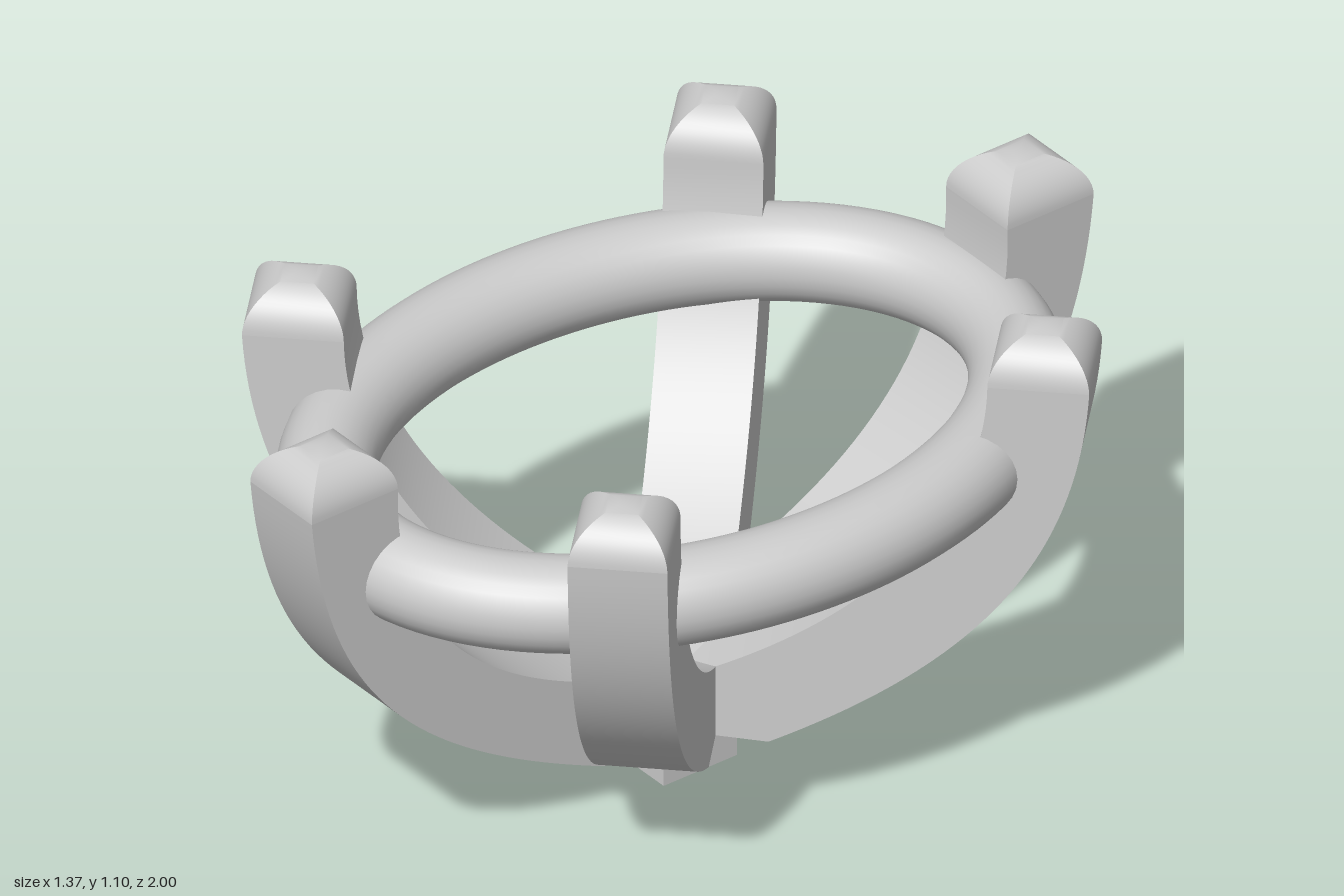
import * as THREE from 'three';
import { toCreasedNormals } from 'three/addons/utils/BufferGeometryUtils.js';

const material = new THREE.MeshStandardMaterial({ color: 0xcccccc });
const HALF = 0.102; // half the width of a prong

// Curved claw: a side profile of two Bezier curves (radius, height), with a vaulted tip
function makeProng(name, outer, inner, angle) {
  const prong = new THREE.Group();
  prong.name = name;

  const shape = new THREE.Shape();
  shape.moveTo(0, 0.118);
  shape.lineTo(...outer[0]);
  shape.bezierCurveTo(...outer[1], ...outer[2], ...outer[3]);
  shape.lineTo(...inner[0]);
  shape.bezierCurveTo(...inner[1], ...inner[2], ...inner[3]);
  shape.closePath();
  const arm = new THREE.ExtrudeGeometry(shape, { depth: HALF * 2, bevelEnabled: false, curveSegments: 36 });
  arm.translate(0, 0, -HALF);
  const armMesh = new THREE.Mesh(toCreasedNormals(arm, 0.5), material);
  armMesh.name = 'prongArm';

  // Four-sided rounded tip
  const top = outer[3][0];
  const bottom = inner[0][0];
  const profile = [];
  for (let i = 0; i <= 14; i++) {
    const t = (i / 14) * Math.PI / 2;
    profile.push(new THREE.Vector2(Math.max(0, Math.cos(t)) * Math.SQRT2, Math.sin(t)));
  }
  const tip = new THREE.LatheGeometry(profile, 4, Math.PI / 4);
  tip.scale((top - bottom) / 2, 0.097, HALF);
  tip.translate((top + bottom) / 2, 1, 0);
  const tipMesh = new THREE.Mesh(toCreasedNormals(tip, 0.5), material);
  tipMesh.name = 'prongTip';

  prong.add(armMesh, tipMesh);
  prong.rotation.y = angle;
  return prong;
}

export function createModel() {
  const model = new THREE.Group();
  model.name = 'gemSetting';

  // Profiles: outer runs upward, inner runs back down to the centre
  const longOuter = [[0.25, 0.115], [0.73, 0.32], [0.96, 0.55], [1, 1]];
  const longInner = [[0.78, 1], [0.79, 0.6], [0.52, 0.36], [0, 0.25]];
  const sideOuter = [[0.21, 0.105], [0.64, 0.33], [0.84, 0.6], [0.865, 1]];
  const sideInner = [[0.657, 1], [0.65, 0.66], [0.38, 0.38], [0, 0.235]];

  // Front and back prongs
  model.add(makeProng('frontProng', longOuter, longInner, -Math.PI / 2));
  model.add(makeProng('backProng', longOuter, longInner, Math.PI / 2));

  // Four diagonal prongs
  ['backLeftProng', 'backRightProng', 'frontRightProng', 'frontLeftProng'].forEach((name, i) => {
    model.add(makeProng(name, sideOuter, sideInner, Math.PI / 4 + i * Math.PI / 2));
  });

  // Oval ring joining the prongs
  const oval = [];
  for (let i = 0; i < 48; i++) {
    const a = (i / 48) * Math.PI * 2;
    oval.push(new THREE.Vector3(0.567 * Math.cos(a), 0.783, 0.771 * Math.sin(a)));
  }
  const ring = new THREE.Mesh(
    new THREE.TubeGeometry(new THREE.CatmullRomCurve3(oval, true), 128, 0.102, 28, true), material);
  ring.name = 'ovalRing';
  model.add(ring);

  // Square peg under the centre
  const peg = new THREE.Mesh(new THREE.BoxGeometry(0.187, 0.14, 0.187), material);
  peg.name = 'basePeg';
  peg.position.y = 0.07;
  model.add(peg);

  return model;
}
